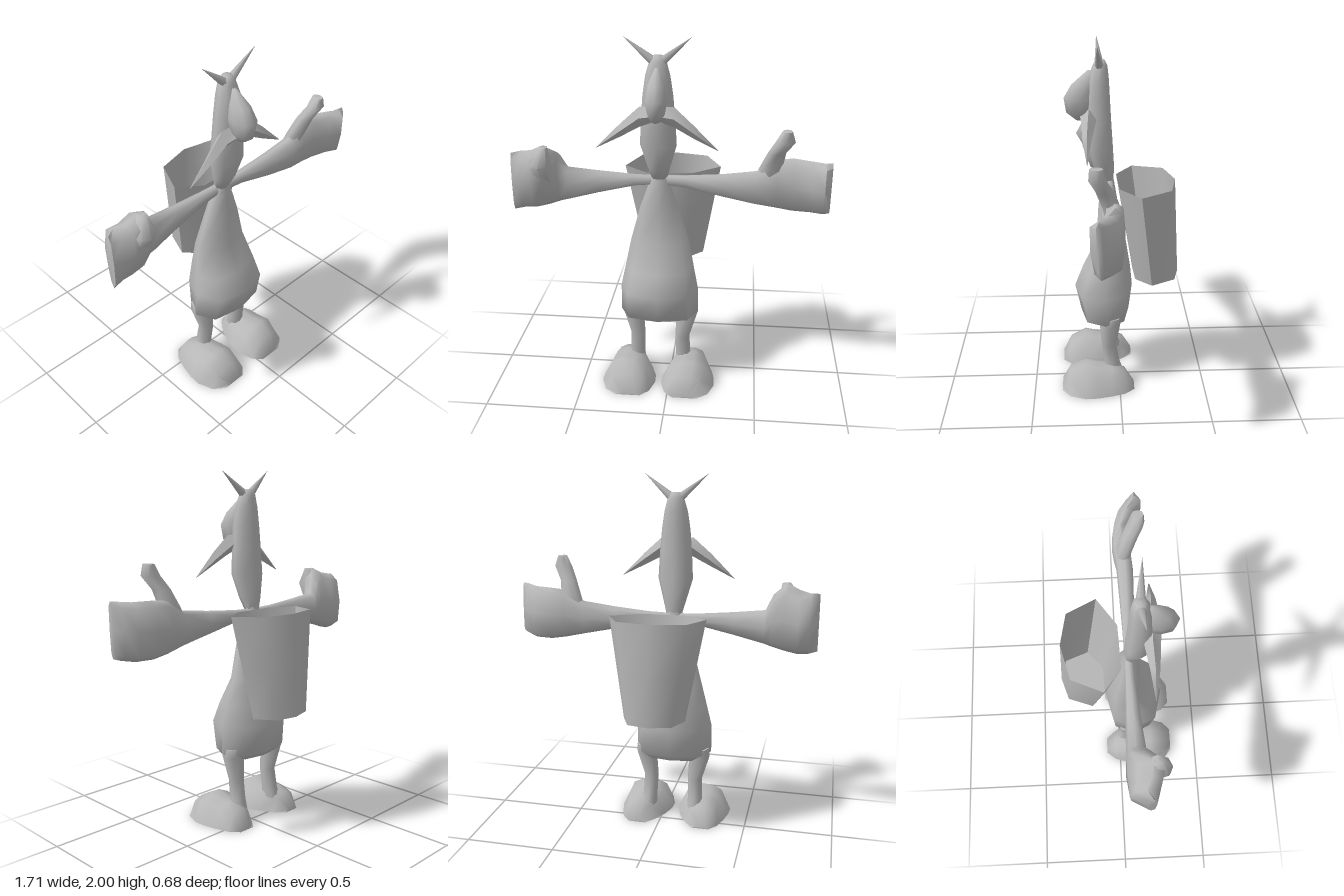
import * as THREE from 'three';
import { toCreasedNormals } from 'three/addons/utils/BufferGeometryUtils.js';

const CX = -0.0625; // the body's centre line

const V = (x, y, z) => new THREE.Vector3(x, y, z);
const mirrorX = (x) => 2 * CX - x;
const soft = (v, e) => Math.sign(v) * Math.pow(Math.abs(v), e);

// Skin through equal-length rings of points, capped with fans, wound outwards
function loft(rings, { capStart = true, capEnd = true, crease = 1.25 } = {}) {
  const n = rings[0].length;
  const pts = rings.flat();
  let faces = [];
  for (let i = 0; i < rings.length - 1; i++) {
    for (let j = 0; j < n; j++) {
      const a = i * n + j, b = i * n + (j + 1) % n;
      faces.push([a, b, b + n], [a, b + n, a + n]);
    }
  }
  const cap = (ring, base, flip) => {
    const centre = ring.reduce((s, p) => s.add(p), V(0, 0, 0)).divideScalar(n);
    const c = pts.push(centre) - 1;
    for (let j = 0; j < n; j++) {
      const a = base + j, b = base + (j + 1) % n;
      faces.push(flip ? [c, b, a] : [c, a, b]);
    }
  };
  if (capStart) cap(rings[0], 0, true);
  if (capEnd) cap(rings[rings.length - 1], (rings.length - 1) * n, false);
  const mid = pts.reduce((s, p) => s.add(p), V(0, 0, 0)).divideScalar(pts.length);
  let volume = 0;
  for (const f of faces) {
    const [a, b, c] = f.map((k) => pts[k].clone().sub(mid));
    volume += a.dot(b.cross(c));
  }
  if (volume < 0) faces = faces.map(([a, b, c]) => [a, c, b]);
  const geo = new THREE.BufferGeometry().setFromPoints(pts);
  geo.setIndex(faces.flat());
  return toCreasedNormals(geo, crease);
}

// Horizontal ring: [y, cx, cz, rx, rz]
function ringY([y, cx, cz, rx, rz], sides = 8, e = 0.9) {
  return Array.from({ length: sides }, (_, i) => {
    const a = (i / sides) * Math.PI * 2;
    return V(cx + rx * soft(Math.sin(a), e), y, cz + rz * soft(Math.cos(a), e));
  });
}

// Ring across an arm: [x, bottom, top, back, front, lean]
function ringX([x, y0, y1, z0, z1, lean = 0], sides = 8, e = 0.75) {
  const cy = (y0 + y1) / 2, ry = (y1 - y0) / 2, cz = (z0 + z1) / 2, rz = (z1 - z0) / 2;
  return Array.from({ length: sides }, (_, i) => {
    const a = (i / sides) * Math.PI * 2;
    const dy = ry * soft(Math.cos(a), e);
    return V(x, cy + dy, cz + rz * soft(Math.sin(a), e) + lean * dy);
  });
}

export function createModel() {
  const group = new THREE.Group();
  const grey = new THREE.MeshStandardMaterial({ color: 0xb8b8b8, side: THREE.DoubleSide });
  grey.name = 'plainGrey';
  const add = (name, geo) => {
    const mesh = new THREE.Mesh(geo, grey);
    mesh.name = name;
    group.add(mesh);
    return mesh;
  };
  const column = (rows, sides, e) => loft(rows.map((r) => ringY(r, sides, e)));

  // Pear-shaped torso
  add('torso', column([
    [0.385, CX, 0.06, 0.16, 0.09], [0.42, CX, 0.08, 0.222, 0.14],
    [0.58, CX, 0.0875, 0.22, 0.167], [0.7, CX, 0.07, 0.195, 0.138],
    [0.85, CX, 0.04, 0.165, 0.085], [1.05, CX, 0.055, 0.11, 0.06],
    [1.19, CX, 0.06, 0.06, 0.042], [1.25, CX, 0.06, 0.04, 0.032],
  ], 8, 0.8));

  // Long head and neck
  add('head', column([
    [1.22, CX, 0.06, 0.04, 0.03], [1.3, CX, 0.078, 0.062, 0.055],
    [1.43, CX, 0.1, 0.098, 0.07], [1.58, CX, 0.105, 0.09, 0.066],
    [1.7, CX, 0.108, 0.08, 0.063], [1.8, CX, 0.105, 0.065, 0.055],
    [1.87, CX, 0.097, 0.045, 0.04], [1.9, CX, 0.097, 0.026, 0.025],
  ]));

  // Drooping nose
  add('nose', column([
    [1.58, CX, 0.2, 0.02, 0.03], [1.62, CX, 0.2, 0.045, 0.08],
    [1.7, CX, 0.2, 0.06, 0.092], [1.77, CX, 0.18, 0.045, 0.07],
    [1.845, CX, 0.145, 0.01, 0.02],
  ]));

  for (const s of [1, -1]) {
    const side = s > 0 ? 'left' : 'right';

    // Spiky tuft on the crown
    const from = V(CX + s * 0.015, 1.865, 0.1), to = V(CX + s * 0.178, 2, 0.113);
    const dir = to.clone().sub(from);
    const spike = add(side + 'Tuft', new THREE.ConeGeometry(0.026, dir.length(), 6));
    spike.position.copy(from).add(to).multiplyScalar(0.5);
    spike.quaternion.setFromUnitVectors(V(0, 1, 0), dir.normalize());

    // Pointed moustache half: offset, bottom, top, back, front
    add(side + 'Moustache', loft([
      [0, 1.575, 1.65, 0.11, 0.21], [0.09, 1.543, 1.65, 0.12, 0.2],
      [0.19, 1.49, 1.56, 0.145, 0.195], [0.32, 1.426, 1.429, 0.17, 0.173],
    ].map(([d, ...r]) => ringX([CX + s * d, ...r], 4, 1))));

    const X = (x) => (s > 0 ? mirrorX(x) : x);

    // Leg
    add(side + 'Leg', column([
      [0.08, X(-0.2), 0.035, 0.045, 0.055], [0.14, X(-0.197), 0.045, 0.042, 0.045],
      [0.25, X(-0.193), 0.06, 0.042, 0.042], [0.4, X(-0.22), 0.055, 0.06, 0.06],
      [0.45, X(-0.215), 0.05, 0.06, 0.06],
    ]));

    // Foot: z, centre x, half width, height
    const arch = [[-1, 0], [-0.65, 0.8], [-0.22, 1], [0.22, 1], [0.65, 0.8], [1, 0]];
    add(side + 'Foot', loft([
      [-0.085, -0.25, 0.05, 0.008], [-0.03, -0.25, 0.095, 0.105],
      [0.05, -0.24, 0.13, 0.128], [0.13, -0.235, 0.152, 0.13],
      [0.2, -0.235, 0.155, 0.15], [0.29, -0.232, 0.125, 0.105],
      [0.338, -0.225, 0.07, 0.008],
    ].map(([z, cx, w, h]) => arch.map(([u, v]) => V(X(cx + u * w), v * h, z))), { crease: 1 }));
  }

  // Right arm with a flared fist
  add('rightArm', loft([
    [-0.04, 1.195, 1.24, 0.03, 0.08], [-0.2, 1.178, 1.245, 0.027, 0.082],
    [-0.4, 1.133, 1.262, 0.02, 0.1], [-0.57, 1.09, 1.28, 0.013, 0.12],
    [-0.61, 1.078, 1.365, 0.01, 0.14, 0.1], [-0.68, 1.056, 1.42, 0.015, 0.2, 0.2],
    [-0.75, 1.04, 1.387, 0.02, 0.185, 0.15], [-0.81, 1.042, 1.375, 0.02, 0.17, 0.05],
    [-0.858, 1.046, 1.37, 0.11, 0.155],
  ].map((r) => ringX(r))));
  // Bulge where the right thumb folds over the palm
  add('rightThumb', column([
    [1.2, -0.68, 0.12, 0.05, 0.05], [1.32, -0.69, 0.16, 0.06, 0.08],
    [1.415, -0.675, 0.16, 0.025, 0.03],
  ]));

  // Left arm with a curved open hand
  add('leftArm', loft([
    [-0.08, 1.195, 1.24, 0.03, 0.08], [0.08, 1.178, 1.245, 0.027, 0.082],
    [0.28, 1.133, 1.262, 0.02, 0.1], [0.46, 1.095, 1.285, 0.012, 0.105],
    [0.57, 1.073, 1.35, -0.008, 0.095], [0.66, 1.058, 1.357, -0.003, 0.09],
    [0.76, 1.058, 1.355, 0.015, 0.125, 0.08], [0.82, 1.067, 1.36, 0.06, 0.165, 0.08],
    [0.855, 1.078, 1.365, 0.105, 0.135, 0.04],
  ].map((r) => ringX(r, 8, 0.6))));
  // Raised left thumb
  add('leftThumb', column([
    [1.22, 0.52, 0.045, 0.07, 0.04], [1.3, 0.535, 0.055, 0.062, 0.045],
    [1.4, 0.563, 0.09, 0.048, 0.045], [1.47, 0.603, 0.125, 0.052, 0.043],
    [1.53, 0.61, 0.13, 0.026, 0.033],
  ]));

  // Open tapered basket on the back, rim given as x, z
  const rim = [[-0.27, -0.085], [-0.195, -0.26], [0, -0.31], [0.18, -0.275],
    [0.265, -0.11], [0.11, 0], [-0.14, 0.01]];
  const basketRing = (t) => rim.map(([x, z]) => V(
    x * (1 - 0.36 * t),
    THREE.MathUtils.lerp(1.24 - z * 0.05, 0.678 - z * 0.06, t),
    THREE.MathUtils.lerp(z, -0.09 + z * 0.8, t),
  ));
  add('basket', loft([0, 0.5, 1].map(basketRing), { capStart: false, crease: 1.1 }));

  return group;
}
